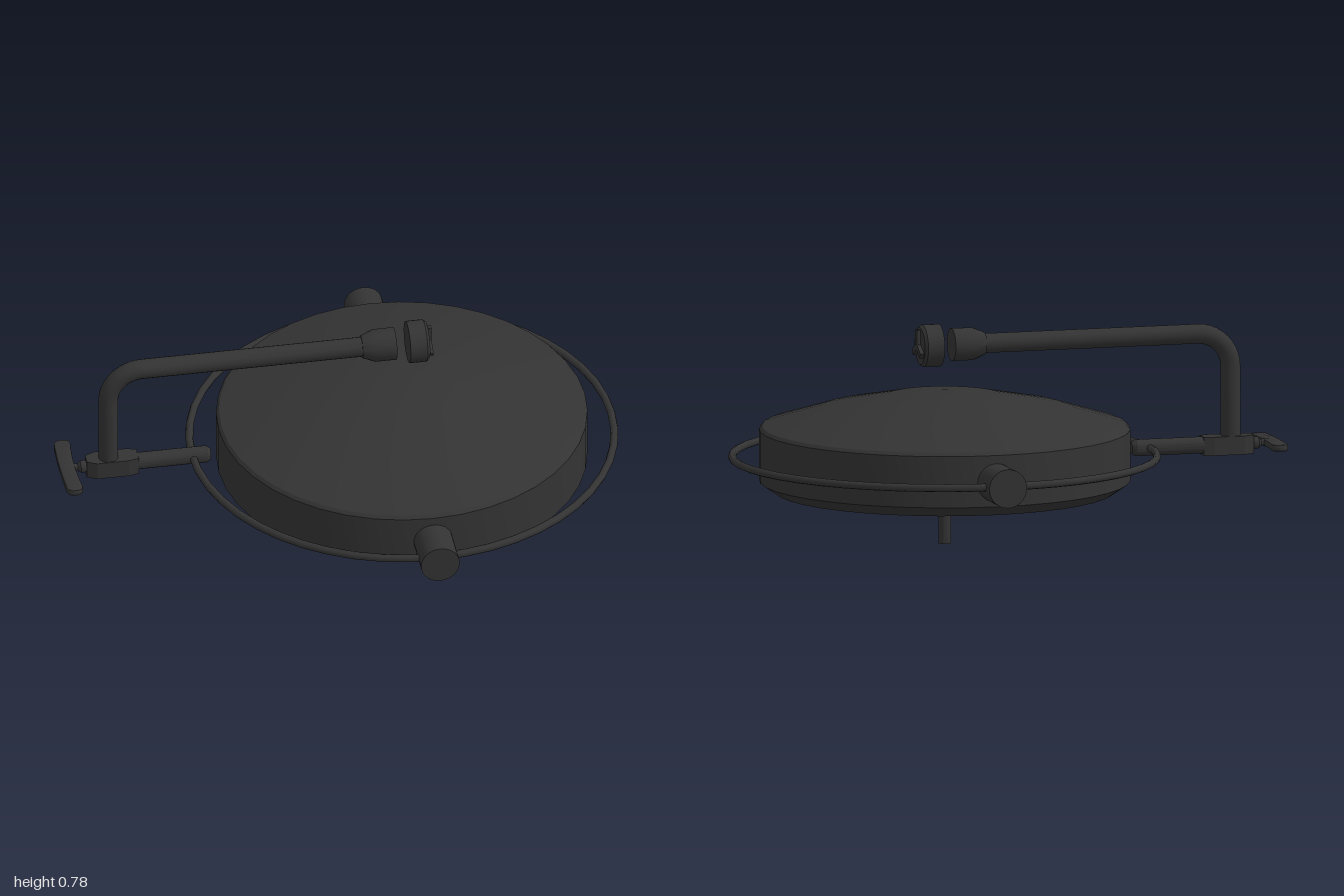
import * as THREE from 'three';
import { toCreasedNormals } from 'three/addons/utils/BufferGeometryUtils.js';

const material = new THREE.MeshStandardMaterial({ color: 0x333333 });
const CX = 0.23;      // lamp head centre
const RING_Y = 0.31;  // height of the ring and lower arm
const ARM_Y = 0.707;  // height of the upper arm

function add(parent, name, geometry, x = 0, y = 0, z = 0) {
  const mesh = new THREE.Mesh(geometry, material);
  mesh.name = name;
  mesh.position.set(x, y, z);
  parent.add(mesh);
  return mesh;
}

// Turned part from [radius, height] pairs; axis 'x', 'y' or 'z'
function turned(profile, axis = 'y', sides = 24) {
  const points = profile.map(([r, h]) => new THREE.Vector2(r, h));
  const geometry = toCreasedNormals(new THREE.LatheGeometry(points, sides), 0.5);
  if (axis === 'x') geometry.rotateZ(-Math.PI / 2);
  if (axis === 'z') geometry.rotateX(Math.PI / 2);
  return geometry;
}

const rod = (r, a, b, axis, sides) => turned([[0, a], [r, a], [r, b], [0, b]], axis, sides);

function buildHead() {
  const head = new THREE.Group();
  head.name = 'lampHead';
  head.position.x = CX;

  // Shallow domed housing with a chamfered lower rim
  add(head, 'housing', turned([
    [0, 0.187], [0.6, 0.187], [0.655, 0.225], [0.655, 0.408], [0.645, 0.42],
    [0.44, 0.482], [0.2, 0.53], [0, 0.547],
  ], 'y', 40));

  // Sterile handle under the lamp
  add(head, 'handleFlange', turned([
    [0, 0.157], [0.09, 0.157], [0.09, 0.172], [0.115, 0.172], [0.127, 0.187], [0, 0.187],
  ], 'y', 32));
  add(head, 'handleStem', rod(0.022, 0, 0.17, 'y', 20));

  // Guard ring and the two grips that carry it
  const ring = new THREE.TorusGeometry(0.75, 0.014, 8, 48);
  ring.rotateX(Math.PI / 2);
  add(head, 'guardRing', ring, 0, RING_Y, 0);
  for (const side of [1, -1]) {
    const grip = add(head, side > 0 ? 'frontGrip' : 'backGrip', rod(0.069, 0.6, 0.8, 'z', 28), 0, RING_Y, 0);
    if (side < 0) grip.rotation.y = Math.PI;
  }
  return head;
}

function buildArm() {
  const arm = new THREE.Group();
  arm.name = 'supportArm';
  const bend = 0.12, px = -0.82, r = 0.035;

  // Upright, elbow and horizontal tube
  add(arm, 'upright', rod(r, RING_Y, ARM_Y - bend, 'y', 20), px, 0, 0);
  const elbow = new THREE.TorusGeometry(bend, r, 20, 10, Math.PI / 2);
  elbow.rotateZ(Math.PI / 2);
  add(arm, 'elbow', elbow, px + bend, ARM_Y - bend, 0);
  add(arm, 'horizontalTube', rod(r, px + bend, 0.11, 'x', 20), 0, ARM_Y, 0);

  // Flared sleeve at the end of the tube
  add(arm, 'sleeve', turned([
    [0, 0.085], [0.04, 0.085], [0.058, 0.13], [0.058, 0.205], [0, 0.205],
  ], 'x'), 0, ARM_Y, 0);

  // Separate end cap with a raised three-spoke face
  const cap = new THREE.Group();
  cap.name = 'endCap';
  cap.position.y = ARM_Y;
  arm.add(cap);
  add(cap, 'capBody', turned([
    [0, 0.25], [0.075, 0.25], [0.075, 0.311], [0.066, 0.321], [0, 0.321],
  ], 'x', 28));
  for (let i = 0; i < 3; i++) {
    const spoke = new THREE.BoxGeometry(0.02, 0.058, 0.02);
    spoke.translate(0.325, 0.028, 0);
    add(cap, 'capSpoke', spoke).rotation.x = i * Math.PI * 2 / 3;
  }
  return arm;
}

function buildLowerArm() {
  const lower = new THREE.Group();
  lower.name = 'lowerArm';
  lower.position.y = RING_Y;

  // Joint block, chamfered towards the grip
  const plan = new THREE.Shape([
    [-0.9, -0.02], [-0.865, -0.037], [-0.75, -0.037], [-0.715, -0.028],
    [-0.715, 0.028], [-0.75, 0.037], [-0.865, 0.037], [-0.9, 0.02],
  ].map(([x, z]) => new THREE.Vector2(x, z)));
  const block = new THREE.ExtrudeGeometry(plan, { depth: 0.066, bevelEnabled: false });
  block.rotateX(-Math.PI / 2);
  add(lower, 'jointBlock', block, 0, -0.035, 0);

  // Link reaching under the guard ring
  add(lower, 'link', turned([
    [0, -0.73], [0.03, -0.73], [0.03, -0.47], [0.02, -0.455], [0, -0.455],
  ], 'x', 20));

  // Waisted neck between block and cross bar
  add(lower, 'neck', turned([
    [0, -0.96], [0.014, -0.96], [0.012, -0.93], [0.022, -0.92], [0.022, -0.905], [0.016, -0.89], [0, -0.89],
  ], 'x', 16));

  // Rounded cross bar, a little thinner at the middle
  const bar = new THREE.Shape();
  bar.moveTo(-0.988, -0.13);
  bar.quadraticCurveTo(-0.988, -0.152, -0.962, -0.152);
  bar.quadraticCurveTo(-0.937, -0.152, -0.937, -0.13);
  bar.quadraticCurveTo(-0.952, 0, -0.937, 0.13);
  bar.quadraticCurveTo(-0.937, 0.152, -0.962, 0.152);
  bar.quadraticCurveTo(-0.988, 0.152, -0.988, 0.13);
  bar.quadraticCurveTo(-0.996, 0, -0.988, -0.13);
  const barGeometry = new THREE.ExtrudeGeometry(bar, {
    depth: 0.012, bevelThickness: 0.006, bevelSize: 0.004, bevelSegments: 2, curveSegments: 8,
  });
  barGeometry.rotateX(-Math.PI / 2);
  add(lower, 'crossBar', toCreasedNormals(barGeometry, 0.6), 0, -0.006, 0);
  return lower;
}

export function createModel() {
  const model = new THREE.Group();
  model.name = 'surgicalLamp';
  model.add(buildHead(), buildArm(), buildLowerArm());
  return model;
}
